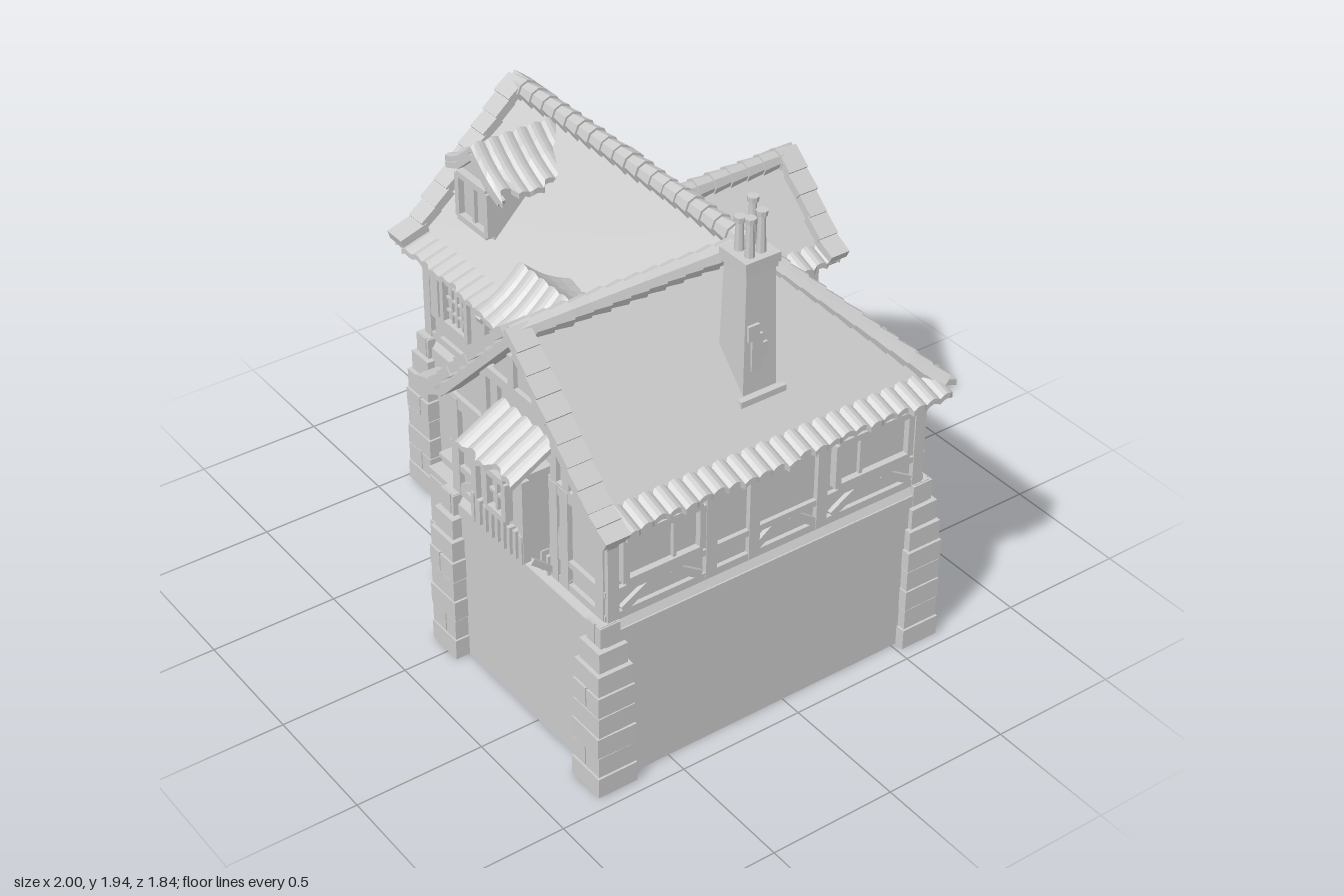
import * as THREE from 'three';

const V = (x, y, z) => new THREE.Vector3(x, y, z);
const mat = new THREE.MeshStandardMaterial({ color: 0xcccccc, flatShading: true, side: THREE.DoubleSide });
let seed = 7;
const rnd = () => (seed = (seed * 16807) % 2147483647) / 2147483647;

function add(parent, name, geo, x = 0, y = 0, z = 0) {
  const m = new THREE.Mesh(geo, mat);
  m.name = name;
  m.position.set(x, y, z);
  parent.add(m);
  return m;
}
// box given by its limits
const block = (p, name, x0, x1, y0, y1, z0, z1) =>
  add(p, name, new THREE.BoxGeometry(x1 - x0, y1 - y0, z1 - z0), (x0 + x1) / 2, (y0 + y1) / 2, (z0 + z1) / 2);
// timber lying on a wall face, from (u1,v1) to (u2,v2)
function beam(p, u1, v1, u2, v2, w = 0.04, d = 0.03, z = 0.002) {
  const m = add(p, 'timber', new THREE.BoxGeometry(Math.hypot(u2 - u1, v2 - v1), w, d), (u1 + u2) / 2, (v1 + v2) / 2, z);
  m.rotation.z = Math.atan2(v2 - v1, u2 - u1);
}
// sloping strut under a projecting box
const strut = (p, u, y, len) => {
  const m = add(p, 'bracket', new THREE.BoxGeometry(0.022, 0.022, len), u, y, len * 0.38);
  m.rotation.x = -0.7;
};
function face(root, name, x, z, rot) {
  const g = new THREE.Group();
  g.name = name;
  g.position.set(x, 0, z);
  g.rotation.y = rot;
  root.add(g);
  return g;
}
// house-shaped solid: walls, and a gable up to the apex
function gableBody(root, name, a, b, y0, yTop, apex, len, rot, x, z) {
  const s = new THREE.Shape([[a, y0], [b, y0], [b, yTop], [(a + b) / 2, apex], [a, yTop]].map(q => new THREE.Vector2(...q)));
  add(root, name, new THREE.ExtrudeGeometry(s, { depth: len, bevelEnabled: false }).rotateY(rot), x, 0, z);
}
// flat roof slope of any convex outline, with thickness t
function slope(root, name, pts, t = 0.035) {
  const n = pts.length, pos = [];
  const up = pts[1].clone().sub(pts[0]).cross(pts[2].clone().sub(pts[0])).y > 0;
  const top = up ? pts : [...pts].reverse(), low = top.map(p => V(p.x, p.y - t, p.z));
  const tri = (...q) => q.forEach(p => pos.push(p.x, p.y, p.z));
  for (let i = 1; i < n - 1; i++) { tri(top[0], top[i], top[i + 1]); tri(low[0], low[i + 1], low[i]); }
  for (let i = 0; i < n; i++) {
    const j = (i + 1) % n;
    tri(top[i], low[i], low[j]); tri(top[i], low[j], top[j]);
  }
  const g = new THREE.BufferGeometry();
  g.setAttribute('position', new THREE.Float32BufferAttribute(pos, 3));
  g.computeVertexNormals();
  add(root, name, g);
}
// wavy strip of tiles along a-b, running down the slope, hollowed by sag
function tileRow(root, name, a, b, down, wave = 0.014, sag = 0) {
  const n = Math.max(2, Math.round(a.distanceTo(b) / 0.06));
  const g = new THREE.BoxGeometry(1, 1, 1, n * 4, 1, 4), p = g.attributes.position;
  const jit = Array.from({ length: n + 1 }, () => 0.93 + 0.2 * rnd());
  const flip = b.clone().sub(a).cross(down).y > 0;
  for (let i = 0; i < p.count; i++) {
    let s = Math.round((p.getX(i) + 0.5) * n * 4);
    if (flip) s = n * 4 - s;
    const k = p.getZ(i) + 0.5;
    const q = a.clone().lerp(b, s / (n * 4)).addScaledVector(down, k * jit[Math.floor(s / 4)]);
    q.y += p.getY(i) * 0.022 + wave * Math.abs(Math.sin(Math.PI * s / 4)) - sag * Math.sin(Math.PI * k);
    p.setXYZ(i, q.x, q.y, q.z);
  }
  g.computeVertexNormals();
  add(root, name, g);
}
// row of tapered half-round caps on ridges and hips
function caps(root, name, a, b, r = 0.042) {
  const dir = b.clone().sub(a), n = Math.round(dir.length() / 0.075), len = dir.length() / n;
  for (let i = 0; i < n; i++) {
    const m = add(root, name, new THREE.CylinderGeometry(r * 0.85, r * (1.02 + 0.1 * rnd()), len * 1.1, 8));
    m.position.copy(a).addScaledVector(dir, (i + 0.5) / n);
    m.quaternion.setFromUnitVectors(V(0, -1, 0), dir.clone().normalize());
  }
}
// flat tiles along a gable edge, going down through the given points
function rake(root, pts, width = 0.085) {
  for (let k = 0; k < pts.length - 1; k++) {
    const a = pts[k], b = pts[k + 1], d = a.distanceTo(b), n = Math.max(1, Math.round(d / 0.08)), len = d / n;
    const g = new THREE.Group();
    g.name = 'gableEdge';
    root.add(g);
    g.position.copy(a);
    g.lookAt(b);
    for (let i = 0; i < n; i++) {
      const m = add(g, 'edgeTile', new THREE.BoxGeometry(width + 0.015 * rnd(), 0.036, len * 1.08), 0, 0.01, (i + 0.5) * len);
      m.rotation.x = -0.16 + 0.08 * rnd();
    }
    add(g, 'bargeboard', new THREE.BoxGeometry(width * 0.5, 0.035, d), 0, -0.025, d / 2);
  }
}
function rectWindow(p, u, v0, v1, w, bars = [0.65], z = 0) {
  const a = u - w / 2, b = u + w / 2;
  block(p, 'glass', a, b, v0, v1, z - 0.01, z + 0.006);
  for (const [x, y, X, Y] of [[a, v0, b, v0], [a, v1, b, v1], [a, v0, a, v1], [b, v0, b, v1]]) beam(p, x, y, X, Y, 0.025, 0.045, z + 0.008);
  bars.forEach(k => beam(p, a + w * k, v0, a + w * k, v1, 0.014, 0.03, z + 0.006));
}
const arch = (w, v0, v1) => {
  const s = new THREE.Shape(), r = w / 2;
  s.moveTo(-r, v0); s.lineTo(r, v0); s.lineTo(r, v1 - r);
  s.absarc(0, v1 - r, r, 0, Math.PI, false);
  return s;
};
function arched(p, name, u, v0, v1, w, door) {
  const s = arch(w + 0.045, v0 - 0.01, v1 + 0.022);
  s.holes.push(arch(w, v0 + 0.01, v1));
  add(p, name + 'Frame', new THREE.ExtrudeGeometry(s, { depth: 0.035, bevelEnabled: false, curveSegments: 8 }), u, 0, 0);
  add(p, name, new THREE.ExtrudeGeometry(arch(w, v0, v1), { depth: 0.01, bevelEnabled: false, curveSegments: 8 }), u, 0, 0);
  for (let i = 1; i < 4; i++) {
    const x = u + (i - 2) * w / 4;
    beam(p, x, v0, x, v1 - (i === 2 ? 0 : w * 0.1), 0.01, 0.02, 0.01);
    if (!door) beam(p, u - w / 2, v0 + i * 0.055, u + w / 2, v0 + i * 0.055, 0.01, 0.02, 0.01);
  }
}
// sill, rail, top plate, posts and leaning braces of one wall
function framing(p, u0, u1, posts, braces = []) {
  [[0.7, 0.03], [0.8, 0.025], [1.075, 0.05]].forEach(([v, w]) => beam(p, u0, v, u1, v, w));
  posts.forEach(u => beam(p, u, 0.69, u, 1.09, 0.045, 0.036));
  braces.forEach(([a, b]) => beam(p, a, 0.715, b, 0.795, 0.03));
}
function dormer(root, name, x, z, rot) {
  const g = face(root, name, x, z, rot);
  gableBody(g, 'dormerBody', -0.105, 0.105, 1.17, 1.43, 1.51, 0.32, 0, 0, -0.32);
  rectWindow(g, 0, 1.24, 1.42, 0.19, [0.5]);
  for (const s of [-1, 1]) {
    tileRow(g, 'dormerTiles', V(0, 1.56, -0.34), V(0, 1.56, 0.025), V(s * 0.18, -0.125, 0), 0.012, 0.016);
    beam(g, 0, 1.53, s * 0.1, 1.445, 0.025, 0.03, 0.01);
    beam(g, s * 0.1, 1.445, s * 0.175, 1.415, 0.022, 0.03, 0.01);
  }
}

export function createModel() {
  const root = new THREE.Group();
  root.name = 'cottage';

  // stone base: hollow ring with a sloping top
  const foot = [[-.93, .31], [-.05, .31], [-.05, .76], [.91, .76], [.91, -.63], [.03, -.63], [.03, -.85], [-.51, -.85], [-.51, -.63], [-.93, -.63]];
  const inset = d => foot.map(([x, z], i) => {
    const [px, pz] = foot.at(i - 1), [nx, nz] = foot[(i + 1) % foot.length];
    const e = [Math.sign(x - px) + Math.sign(nx - x), Math.sign(z - pz) + Math.sign(nz - z)];
    return new THREE.Vector2(x + e[1] * d, -(z - e[0] * d));
  });
  const ring = new THREE.Shape(inset(0));
  ring.holes.push(new THREE.Path(inset(0.1)));
  add(root, 'stoneBase', new THREE.ExtrudeGeometry(ring, { depth: 0.65, bevelEnabled: false }).rotateX(-Math.PI / 2));
  add(root, 'baseTop', new THREE.ExtrudeGeometry(new THREE.Shape(inset(0)), { depth: 0.01, bevelThickness: 0.05, bevelSize: 0.03, bevelOffset: -0.03, bevelSegments: 1 }).rotateX(-Math.PI / 2), 0, 0.63, 0);

  // corner buttresses of stacked stones
  for (const [x, z] of [[-.905, .285], [-.02, .74], [.87, .74], [.87, -.6], [-.905, -.6], [-.485, -.82], [0, -.82], [.02, .24]]) {
    [.16, .155, .158, .153, .157, .142, .118, .085].forEach((w, i) => {
      const y = i * 0.0865, k = w / 2 - 0.004 * rnd(), c = (rnd() - 0.5) * 0.06;
      if (i % 3 === 1) {
        block(root, 'buttressStone', x - k, x + c - 0.003, y, y + 0.082, z - k, z + k);
        block(root, 'buttressStone', x + c + 0.003, x + k, y, y + 0.082, z - k, z + k);
      } else block(root, 'buttressStone', x - k, x + k, y, y + 0.082, z - k, z + k).rotation.y = (rnd() - 0.5) * 0.04;
    });
    block(root, 'buttressCore', x - 0.035, x + 0.035, 0, 0.69, z - 0.035, z + 0.035);
  }

  // upper walls
  gableBody(root, 'mainWalls', -0.28, 0.6, 0.67, 1.09, 1.53, 1.34, Math.PI / 2, -0.91, 0);
  gableBody(root, 'wingWalls', -0.02, 0.88, 0.67, 1.09, 1.53, 0.9, 0, 0, -0.17);
  gableBody(root, 'bayWalls', -0.48, 0, 0.67, 1.09, 1.34, 0.5, 0, 0, -0.83);
  block(root, 'cornerWalls', 0.4, 0.88, 0.67, 1.09, -0.6, 0);

  // front of the main range: arched window and door
  const front = face(root, 'mainFront', 0, 0.28, 0);
  framing(front, -0.92, -0.02, [-.9, -.57, -.4, -.07], [[-.85, -.74], [-.54, -.65]]);
  arched(front, 'archWindow', -0.69, 0.82, 1.06, 0.14);
  [-.51, -.83].forEach(u => block(front, 'shutter', u - 0.025, u + 0.025, 0.82, 1.06, 0, 0.03));
  arched(front, 'door', -0.24, 0.67, 1.05, 0.19, true);
  add(front, 'doorHandle', new THREE.TorusGeometry(0.013, 0.005, 5, 10), -0.18, 0.83, 0.02);

  // entrance steps
  block(root, 'stepBase', -0.41, -0.049, 0, 0.46, 0.25, 0.615);
  block(root, 'stepFoot', -0.412, -0.049, 0, 0.255, 0.25, 0.62);
  for (let i = 0; i < 5; i++) {
    const y = 0.67 - i * 0.043, z = 0.43 + i * 0.047;
    block(root, 'stepRiser', -0.405, -0.049, 0.4, y - 0.012, 0.29, z - 0.008);
    block(root, 'stepTread', -0.41, -0.049, y - 0.018, y, 0.29, z);
  }

  // front gable with its projecting window box
  const wing = face(root, 'wingFront', 0, 0.73, 0);
  framing(wing, -0.03, 0.89, [0, .18, .26, .6, .66, .86], [[.02, .16]]);
  beam(wing, 0.18, 1.31, 0.68, 1.31);
  [[.19, 1.1, 1.3], [.26, 1.1, 1.3], [.6, 1.1, 1.3], [.67, 1.1, 1.3], [.36, 1.31, 1.45], [.5, 1.31, 1.45]].forEach(([u, a, b]) => beam(wing, u, a, u, b, 0.035));
  beam(wing, 0.58, 1.0, 0.67, 0.72, 0.03);
  block(wing, 'windowBox', 0.29, 0.57, 0.8, 1.13, 0, 0.11);
  rectWindow(wing, 0.43, 0.91, 1.06, 0.11, [0.5], 0.11);
  beam(wing, 0.375, 0.985, 0.485, 0.985, 0.012, 0.03, 0.115);
  [.29, .57].forEach(u => block(wing, 'boxPost', u - 0.015, u + 0.015, 0.79, 1.12, 0.1, 0.13));
  [.28, .36, .43, .5, .58].forEach(u => strut(wing, u, 0.745, 0.13));
  for (let i = 0; i < 9; i++) {
    const u = 0.285 + i * 0.036;
    block(wing, 'boxSlat', u - 0.009, u + 0.009, 0.775 + 0.02 * rnd(), 0.89 + 0.02 * rnd(), 0.11, 0.135);
    block(wing, 'lowerSlat', u - 0.006, u + 0.006, 0.69, 0.77, 0, 0.03);
  }
  tileRow(wing, 'boxRoof', V(0.265, 1.215, 0), V(0.59, 1.215, 0), V(0, -0.095, 0.172), 0.016);

  // right side: two wide windows
  const right = face(root, 'rightSide', 0.88, 0, Math.PI / 2);
  framing(right, -0.74, 0.61, [-.72, -.32, -.14, .15, .58], [[-.68, -.54], [-.36, -.48], [-.14, -.03], [.13, .02], [.2, .34], [.55, .42]]);
  rectWindow(right, -0.52, 0.835, 1.01, 0.31, [0.65]);
  rectWindow(right, 0.37, 0.835, 1.01, 0.32, [0.33]);

  // back, with u running towards -x
  const back = face(root, 'mainBack', 0, -0.6, Math.PI);
  framing(back, -0.89, 0.92, [-.86, -.77, -.53, -.37, -.13, -.03, .52, .89], [[-.8, -.68], [-.5, -.6], [-.38, -.27], [-.05, -.17], [.54, .67], [.87, .75]]);
  [-.65, -.25].forEach(u => arched(back, 'archWindow', u, 0.82, 1.05, 0.15));
  rectWindow(back, 0.71, 0.835, 1.01, 0.28);

  // left gable
  const left = face(root, 'leftGable', -0.91, 0, -Math.PI / 2);
  framing(left, -0.61, 0.29, [-.58, -.4, .08, .26], [[-.55, -.42], [-.37, -.2], [.05, -.12], [.23, .11]]);
  rectWindow(left, -0.16, 0.835, 1.01, 0.34);
  beam(left, -0.4, 1.29, 0.08, 1.29, 0.035);
  [-.36, -.27, -.05, .04].forEach(u => beam(left, u, 1.1, u, 1.29, 0.03));
  rectWindow(left, -0.16, 1.14, 1.27, 0.14, [0.5]);
  beam(left, -0.16, 1.29, -0.16, 1.5, 0.035);

  // rear bay and its boxed window
  const bay = face(root, 'bayBack', 0, -0.83, Math.PI);
  framing(bay, -0.01, 0.49, [.02, .1, .38, .46]);
  beam(bay, 0.24, 1.1, 0.24, 1.3, 0.035);
  rectWindow(bay, 0.24, 0.81, 1.03, 0.22, [0.33, 0.67]);
  block(bay, 'baySill', 0.1, 0.38, 0.765, 0.79, 0, 0.09);
  block(bay, 'bayHead', 0.1, 0.38, 1.045, 1.07, 0, 0.09);
  [.11, .37].forEach(u => {
    block(bay, 'bayPost', u - 0.012, u + 0.012, 0.78, 1.05, 0.06, 0.085);
    strut(bay, u, 0.735, 0.1);
  });
  framing(face(root, 'bayRight', 0, 0, Math.PI / 2), 0.6, 0.84, [.63, .81], [[.65, .79]]);
  framing(face(root, 'bayLeft', -0.48, 0, -Math.PI / 2), -0.84, -0.6, [-.81, -.63], [[-.79, -.65]]);
  framing(face(root, 'wingLeft', -0.02, 0, -Math.PI / 2), 0.28, 0.74, [.31, .5, .71], [[.33, .48], [.69, .53]]);

  // steep main slopes, ending in flatter tiled eaves
  const top = V(.43, 1.585, -.17), valley = V(-.02, 1.13, .28), hip = V(.88, 1.13, -.62), gable = V(.43, 1.585, .79), end = V(-.97, 1.585, -.17);
  slope(root, 'frontSlope', [end, top, valley, V(-.97, 1.13, .28)]);
  slope(root, 'backSlope', [end, top, hip, V(-.97, 1.13, -.62)]);
  slope(root, 'wingRightSlope', [top, gable, V(.88, 1.13, .79), hip]);
  slope(root, 'wingLeftSlope', [top, gable, V(-.02, 1.13, .79), valley]);
  const ey = 1.118, drop = -.03;
  tileRow(root, 'eaveTiles', V(-.97, ey, .28), V(-.05, ey, .28), V(0, drop, .105));
  tileRow(root, 'eaveTiles', V(-.97, ey, -.62), V(-.48, ey, -.62), V(0, drop, -.08));
  tileRow(root, 'eaveTiles', V(0, ey, -.62), V(.93, ey, -.62), V(0, drop, -.075));
  tileRow(root, 'eaveTiles', V(.875, ey, .79), V(.875, ey, -.64), V(.105, drop, 0));
  tileRow(root, 'eaveTiles', V(-.015, ey, .79), V(-.015, ey, .28), V(-.105, drop, 0));
  caps(root, 'ridgeCap', end, top);
  caps(root, 'ridgeCap', gable, top);
  caps(root, 'hipCap', top, V(.92, 1.105, -.65), 0.035);
  const wy = [1.605, 1.15, 1.1];
  rake(root, [V(-.95, wy[0], -.17), V(-.95, wy[1], .28), V(-.95, wy[2], .38)]);
  rake(root, [V(-.95, wy[0], -.17), V(-.95, wy[1], -.62), V(-.95, wy[2], -.69)]);
  rake(root, [V(.43, wy[0], .77), V(.88, wy[1], .77), V(.985, wy[2] - 0.015, .77)]);
  rake(root, [V(.43, wy[0], .77), V(-.02, wy[1], .77), V(-.115, wy[2], .77)]);

  // bay roof
  for (const s of [-1, 1]) {
    const x = d => -0.24 + s * d;
    slope(root, 'baySlope', [V(-.24, 1.385, -.365), V(-.24, 1.385, -.88), V(x(.25), 1.13, -.88), V(x(.25), 1.13, -.62)]);
    tileRow(root, 'bayEaveTiles', V(x(.245), ey, -.88), V(x(.245), ey, -.62), V(s * 0.08, drop, 0));
    rake(root, [V(-.24, 1.405, -.865), V(x(.25), 1.15, -.865), V(x(.325), 1.1, -.865)], 0.075);
  }
  caps(root, 'bayRidgeCap', V(-.24, 1.38, -.9), V(-.24, 1.38, -.37));

  dormer(root, 'frontDormer', -0.69, 0.19, 0);
  dormer(root, 'wingDormer', 0.085, 0.51, -Math.PI / 2);

  // chimney
  const ch = face(root, 'chimney', 0.69, 0.025, 0);
  add(ch, 'shaft', new THREE.CylinderGeometry(0.084, 0.1, 0.55, 4, 1).rotateY(Math.PI / 4), 0, 1.47, 0);
  block(ch, 'footing', -0.08, 0.095, 1.15, 1.25, -0.095, 0.095);
  block(ch, 'collar', -0.066, 0.066, 1.71, 1.73, -0.066, 0.066);
  block(ch, 'cap', -0.072, 0.072, 1.73, 1.765, -0.072, 0.072);
  [[1.34, 1.48, .01], [1.38, 1.44, -.01], [1.46, 1.52, .025]].forEach(([a, b, z]) => block(ch, 'bareBricks', 0.04, 0.075, a, b, z - 0.015, z + 0.03));
  [[-.03, -.03, 1.93], [.03, -.02, 1.91], [-.02, .03, 1.88], [.035, .03, 1.9]].forEach(([x, z, h]) => {
    add(ch, 'pot', new THREE.CylinderGeometry(0.013, 0.018, h - 1.75, 8), x, (h + 1.75) / 2, z);
    add(ch, 'potRim', new THREE.CylinderGeometry(0.021, 0.019, 0.02, 8), x, h, z);
  });
  return root;
}
